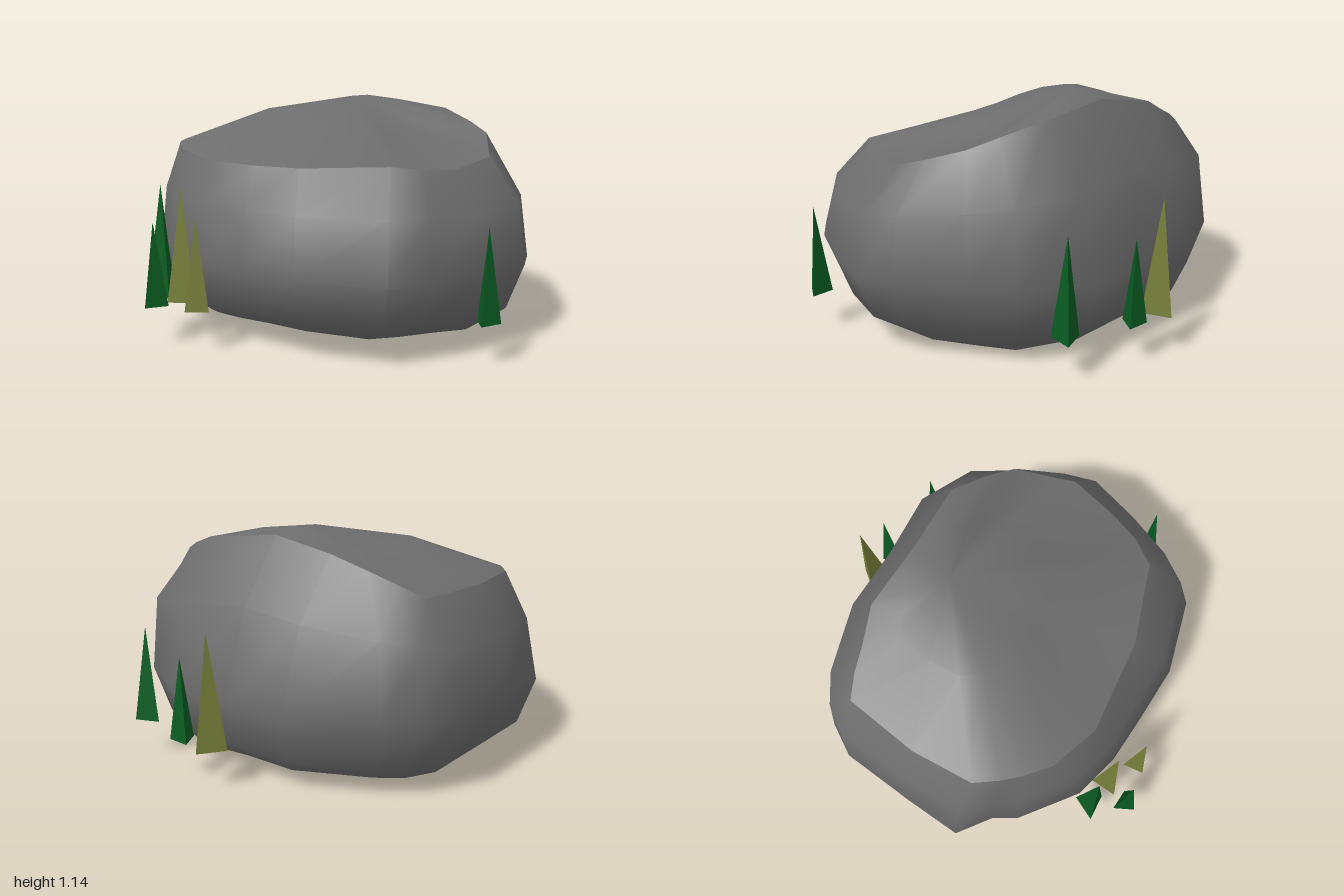
import * as THREE from 'three';
import { toCreasedNormals } from 'three/addons/utils/BufferGeometryUtils.js';

const { lerp } = THREE.MathUtils;

const material = (name, color) => {
  const m = new THREE.MeshStandardMaterial({ color });
  m.name = name;
  return m;
};

// Each spoke round the boulder: widest point x, z, top rim x, y, z, shoulder bulge
const spokes = [
  [0.36, 0.95, 0.35, 0.87, 0.67, 0.7],
  [0.54, 0.85, 0.5, 0.85, 0.6, 0.72],
  [0.77, 0.65, 0.64, 0.84, 0.48, 0.75],
  [0.97, 0.42, 0.8, 0.88, 0.27, 0.8],
  [1, 0.23, 0.8, 0.91, 0.15, 0.8],
  [0.96, -0.1, 0.8, 0.97, -0.05, 0.85],
  [0.93, -0.32, 0.72, 1.02, -0.18, 0.85],
  [0.73, -0.62, 0.59, 1.08, -0.35, 0.7],
  [0.42, -0.78, 0.23, 1.12, -0.5, 0.6],
  [0.13, -0.93, -0.05, 1.07, -0.67, 0.6],
  [-0.31, -0.95, -0.23, 1, -0.7, 0.78],
  [-0.48, -0.92, -0.36, 0.95, -0.73, 0.8],
  [-0.64, -0.82, -0.48, 0.9, -0.74, 0.75],
  [-0.85, -0.48, -0.7, 0.9, -0.42, 0.7],
  [-1, -0.22, -0.83, 0.91, -0.13, 0.65],
  [-0.91, -0.04, -0.81, 0.91, 0, 0.7],
  [-0.9, 0.09, -0.78, 0.9, 0.1, 0.7],
  [-0.75, 0.4, -0.72, 0.89, 0.24, 0.7],
  [-0.56, 0.57, -0.53, 0.86, 0.43, 0.7],
  [-0.32, 0.71, -0.3, 0.85, 0.52, 0.7],
  [-0.05, 0.86, -0.07, 0.85, 0.61, 0.7],
];

const V = (x, y, z) => new THREE.Vector3(x, y, z);
const peak = V(0.08, 1.145, -0.31);
const midY = 0.39;

// Crown: raised on the left, dished towards the front right
const crownColumn = ([, , rx, ry, rz]) => {
  const rim = V(rx, ry, rz);
  const crown = peak.clone().lerp(rim, 0.5);
  crown.y += rx > 0 && rz < -0.15 ? 0.015 : -0.06 * rx;
  return [peak, crown, rim];
};

// Sides: from the rim over the shoulder down to the open underside
const sideColumn = ([x, z, rx, ry, rz, bulge]) => {
  const inset = 0.73 + 0.13 * Math.max(0, -z);
  const fx = x * inset;
  const fz = z * inset;
  const sag = (x > 0 ? 0.165 : 0.12) * fx * fx / (1 + 3 * fz * fz);
  return [
    V(rx, ry, rz),
    V(lerp(rx, x, bulge), lerp(midY, ry, 0.58), lerp(rz, z, bulge)),
    V(x, midY, z),
    V(x * 0.92, 0.155 + 0.025 * Math.max(0, z), z * 0.92),
    V(fx, 0.09 - sag, fz),
  ];
};

// Joins neighbouring columns of points into a closed band
function bandGeometry(columns) {
  const positions = [];
  const triangle = (...points) => points.forEach((p) => positions.push(p.x, p.y, p.z));
  columns.forEach((a, i) => {
    const b = columns[(i + 1) % columns.length];
    for (let r = 0; r < a.length - 1; r++) {
      if (a[r] !== b[r]) triangle(a[r], a[r + 1], b[r]);
      triangle(b[r], a[r + 1], b[r + 1]);
    }
  });
  const geometry = new THREE.BufferGeometry();
  geometry.setAttribute('position', new THREE.Float32BufferAttribute(positions, 3));
  return toCreasedNormals(geometry, 0.95);
}

export function createModel() {
  const group = new THREE.Group();
  const stone = material('grey stone', 0x6d6d6d);
  stone.side = THREE.DoubleSide; // hollow shell, open below
  const green = material('dark green grass', 0x0a5c23);
  const olive = material('olive grass', 0x747d37);

  const parts = { boulderTop: crownColumn, boulderSides: sideColumn };
  for (const [name, column] of Object.entries(parts)) {
    const mesh = new THREE.Mesh(bandGeometry(spokes.map(column)), stone);
    mesh.name = name;
    group.add(mesh);
  }

  // Three-sided grass blades: x, z, radius, height, turn, material
  const blades = [
    [-0.77, 0.47, 0.08, 0.55, -1.45, green],
    [-0.75, 0.655, 0.064, 0.4, 1.57, green],
    [-0.64, 0.56, 0.08, 0.55, 3.14, olive],
    [-0.53, 0.71, 0.064, 0.43, -2.98, olive],
    [0.782, 0.742, 0.064, 0.43, 1.68, green],
    [0.472, -0.853, 0.082, 0.55, -1.65, olive],
    [0.628, -0.768, 0.064, 0.4, 1.57, green],
    [0.878, -0.53, 0.072, 0.47, -0.11, green],
  ];
  blades.forEach(([x, z, radius, height, turn, mat], i) => {
    const geometry = new THREE.ConeGeometry(radius, height, 3).toNonIndexed();
    geometry.computeVertexNormals();
    const blade = new THREE.Mesh(geometry, mat);
    blade.name = `grassBlade${i + 1}`;
    blade.position.set(x, 0.195 + height / 2, z);
    blade.rotation.y = turn;
    group.add(blade);
  });

  return group;
}
